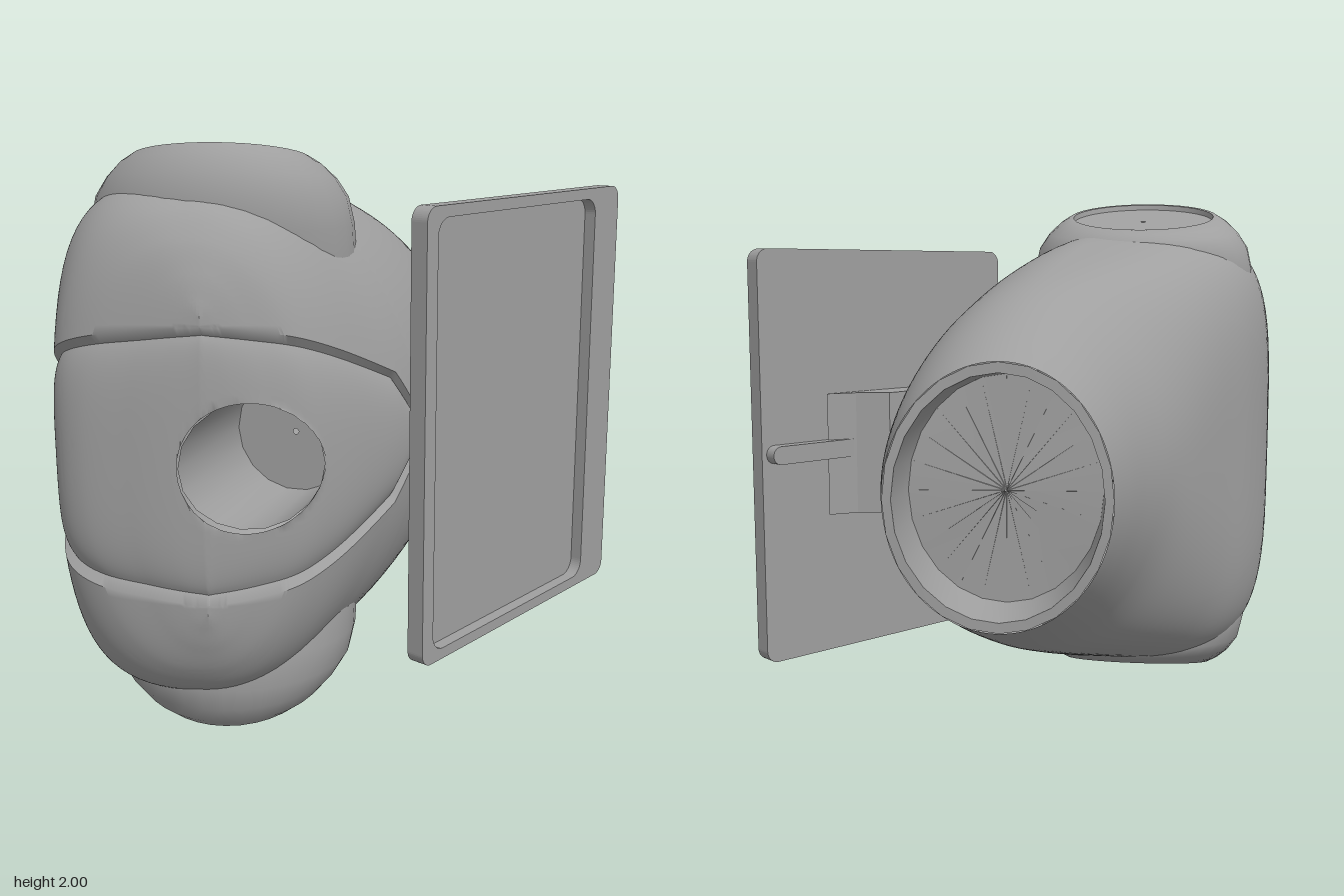
import * as THREE from 'three';
import { toCreasedNormals } from 'three/addons/utils/BufferGeometryUtils.js';

const mat = new THREE.MeshStandardMaterial({ color: 0x9f9f9f, side: THREE.DoubleSide });
const SIDES = 144;
const EIGHTH = Math.PI / 4;
const { smoothstep, clamp } = THREE.MathUtils;

// Pod sections from tail to nose: z, left x, right x, half height about y = 1
const KEYS = [
  [-0.95, -0.42, 0.31, 0.435], [-0.8, -0.46, 0.35, 0.49], [-0.6, -0.52, 0.38, 0.57],
  [-0.4, -0.6, 0.39, 0.65], [-0.2, -0.7, 0.39, 0.72], [0, -0.8, 0.385, 0.785],
  [0.2, -0.9, 0.345, 0.845], [0.4, -0.965, 0.27, 0.875], [0.6, -0.99, 0.16, 0.88],
  [0.75, -0.99, 0.05, 0.865], [0.86, -0.965, -0.05, 0.81], [0.93, -0.88, -0.14, 0.72],
  [0.97, -0.72, -0.26, 0.62], [0.99, -0.6, -0.36, 0.54], [1.0, -0.47, -0.47, 0.49],
];
const spine = (f) => new THREE.CatmullRomCurve3(KEYS.map(f), false, 'catmullrom');
const heightCurve = spine((k) => new THREE.Vector3(k[0], k[3], 0));
const widthCurve = spine((k) => new THREE.Vector3(k[1], k[2], 0));

// Round socket in the visor
const eye = { c: new THREE.Vector3(-0.335, 1, 0.985), axis: new THREE.Vector3(-0.25, 0, 0.968).normalize(), r: 0.213 };

// Half height of the visor band, closing to a blunt tip at z = 0.5
const visorHalf = (z) => (0.455 - 0.56 * (1 - z)) * Math.sqrt(clamp((z - 0.5) / 0.1, 0, 1));

// One ring of the pod; an edge of the mesh follows the visor at every 45 degrees
function section(t, scale = 1) {
  const a = heightCurve.getPoint(t), w = widthCurve.getPoint(t), z = a.x;
  const cx = (w.x + w.y) / 2, rx = ((w.y - w.x) / 2) * scale, ry = a.y * scale;
  const tail = Math.max(0, 1 - t * 5);
  const nose = smoothstep(z, 0.6, 0.97);
  const front = smoothstep(z, -0.5, 0.3) * (1 - nose);
  return Array.from({ length: SIDES }, (_, i) => {
    const q = (i / SIDES) * Math.PI * 2, c = Math.cos(q), s = Math.sin(q);
    // Full on the left flank, slanted on the right
    const pw = 2 / (2 + 0.2 * nose + (c < 0 ? 2.1 : -0.2) * front);
    const edge = z > 0.5
      ? Math.asin(Math.min(0.97, visorHalf(z) / ry) ** (1 / pw))
      : EIGHTH * Math.min(1, (0.5 - z) / 0.7);
    const k = Math.atan2(Math.abs(s), Math.abs(c)) / EIGHTH;
    const bent = k < 1 ? k * edge : edge + (k - 1) * (Math.PI / 2 - edge);
    const x = cx + rx * Math.sign(c) * Math.max(0, Math.cos(bent)) ** pw;
    const v = Math.sign(s) * Math.sin(bent) ** pw;
    const p = new THREE.Vector3(x, 1 + ry * v, z + tail * (0.025 * v * v - 0.05 * (x + 0.42) / 0.73));
    // Sink the visor towards its edge
    if (z > 0.5 && k < 0.999) p.lerp(new THREE.Vector3(-0.45, 1, 0.3), 0.045 * k ** 4);
    return p;
  });
}

// Skin closed rings, leaving out triangles for which skip(a, b, c) is true
function loft(rows, skip = () => false) {
  const n = rows[0].length, index = [];
  const tri = (a, b, c) => { if (!skip(a, b, c)) index.push(a, b, c); };
  for (let j = 0; j < rows.length - 1; j++) {
    for (let i = 0; i < n; i++) {
      const k = (i + 1) % n;
      const a = j * n + i, b = j * n + k, c = b + n, d = a + n;
      tri(a, b, c);
      tri(a, c, d);
    }
  }
  const g = new THREE.BufferGeometry().setFromPoints(rows.flat());
  g.setIndex(index);
  g.computeVertexNormals();
  return g;
}

// Pod skin with the socket opening
function podGeometry() {
  const steps = (KEYS.length - 1) * 11;
  const rows = Array.from({ length: steps + 1 }, (_, j) => section(j / steps));
  // Push points inside the socket out to its rim
  const inside = rows.flat().map((p) => {
    const rel = p.clone().sub(eye.c);
    const radial = rel.addScaledVector(eye.axis, -rel.dot(eye.axis));
    const gap = eye.r - radial.length();
    if (p.z < 0.75 || gap <= 0) return false;
    p.addScaledVector(radial.normalize(), gap);
    return true;
  });
  return toCreasedNormals(loft(rows, (a, b, c) => inside[a] && inside[b] && inside[c]), 0.75);
}

// Socket wall and floor
function socketGeometry() {
  const side = new THREE.Vector3(eye.axis.z, 0, -eye.axis.x);
  const ring = (r, depth) => Array.from({ length: 18 }, (_, i) => {
    const q = (i / 18) * Math.PI * 2, u = Math.cos(q) * r;
    const along = depth === 0 ? -0.45 * u - 0.04 : -depth;
    return eye.c.clone().addScaledVector(side, u).addScaledVector(eye.axis, along)
      .add(new THREE.Vector3(0, Math.sin(q) * r, 0));
  });
  return toCreasedNormals(loft([ring(eye.r, 0), ring(eye.r, 0.48), ring(0.01, 0.48)]), 0.6);
}

// Tail rim, inner wall and floor
function tailGeometry() {
  const shifted = (s, dz) => section(0, s).filter((_, i) => i % 6 === 0).map((p) => p.setZ(p.z + dz));
  const rows = [shifted(1, 0), shifted(0.92, 0), shifted(0.88, 0.2), shifted(0.01, 0.2)];
  return toCreasedNormals(loft(rows), 0.6);
}

// Collar rising from the pod to a tilted rim with a shallow disc: rx, rz, height, tilt
function collarGeometry(sign) {
  const rows = [[0.45, 0.33, 0.62, 0], [0.445, 0.355, 0.72, 0], [0.425, 0.365, 0.81, 0.06],
    [0.385, 0.345, 0.87, 0.12], [0.34, 0.315, 0.912, 0.19], [0.3, 0.285, 0.935, 0.23],
    [0.285, 0.265, 0.935, 0.23], [0.282, 0.262, 0.915, 0.23], [0.01, 0.01, 0.915, 0.23],
  ].map(([rx, rz, h, tilt]) => Array.from({ length: 36 }, (_, i) => {
    const q = (i / 36) * Math.PI * 2, dz = -Math.sin(q) * rz;
    return new THREE.Vector3(-0.455 + Math.cos(q) * rx, 1 + sign * (h + tilt * dz), 0.48 + dz);
  }));
  return toCreasedNormals(loft(sign > 0 ? rows : rows.reverse()), 0.7);
}

function roundedRect(Type, x0, x1, y0, y1, r) {
  const s = new Type();
  s.moveTo(x0 + r, y0);
  s.lineTo(x1 - r, y0).absarc(x1 - r, y0 + r, r, -Math.PI / 2, 0);
  s.lineTo(x1, y1 - r).absarc(x1 - r, y1 - r, r, 0, Math.PI / 2);
  s.lineTo(x0 + r, y1).absarc(x0 + r, y1 - r, r, Math.PI / 2, Math.PI);
  s.lineTo(x0, y0 + r).absarc(x0 + r, y0 + r, r, Math.PI, Math.PI * 1.5);
  return s;
}

const extrude = (shape, depth) =>
  new THREE.ExtrudeGeometry(shape, { depth, bevelEnabled: false, curveSegments: 6 });

// Plan outline in x, z raised between two heights
function plan(points, y0, y1) {
  const shape = new THREE.Shape(points.map(([x, z]) => new THREE.Vector2(x, -z)));
  return extrude(shape, y1 - y0).rotateX(-Math.PI / 2).translate(0, y0, 0);
}

export function createModel() {
  const group = new THREE.Group();
  const add = (name, geometry, parent = group) => {
    const m = new THREE.Mesh(geometry, mat);
    m.name = name;
    parent.add(m);
  };

  add('podShell', podGeometry());
  add('visorSocket', socketGeometry());
  add('tailOpening', tailGeometry());
  add('topPort', collarGeometry(1));
  add('bottomPort', collarGeometry(-1));

  // Angled side panel: back plate, raised frame, rear bar
  const panel = new THREE.Group();
  panel.name = 'sidePanel';
  panel.position.set(0.612, 1.003, 0.265);
  panel.rotation.y = 0.89;
  group.add(panel);
  const outline = () => roundedRect(THREE.Shape, -0.61, 0.61, -0.795, 0.795, 0.05);
  add('panelBack', extrude(outline(), 0.02).translate(0, 0, -0.065), panel);
  const frame = outline();
  frame.holes.push(roundedRect(THREE.Path, -0.55, 0.44, -0.755, 0.755, 0.06));
  add('panelFrame', extrude(frame, 0.045).translate(0, 0, -0.045), panel);
  const bar = roundedRect(THREE.Shape, -0.1, 0.59, -0.035, 0.035, 0.034);
  add('panelBar', extrude(bar, 0.05).translate(0, 0.02, -0.115), panel);

  // Bracket joining panel and pod
  add('bracketArm', plan([[0.38, 0.46], [0.36, 0.38], [0.29, 0.28], [0.42, 0.2],
    [0.52, 0.05], [0.65, 0.03], [0.75, -0.03]], 0.76, 1.24));
  add('bracketPad', plan([[0.29, 0.28], [0.34, 0.28], [0.44, 0.09], [0.44, 0.05],
    [0.33, 0.06]], 0.8, 1.2));
  return group;
}
